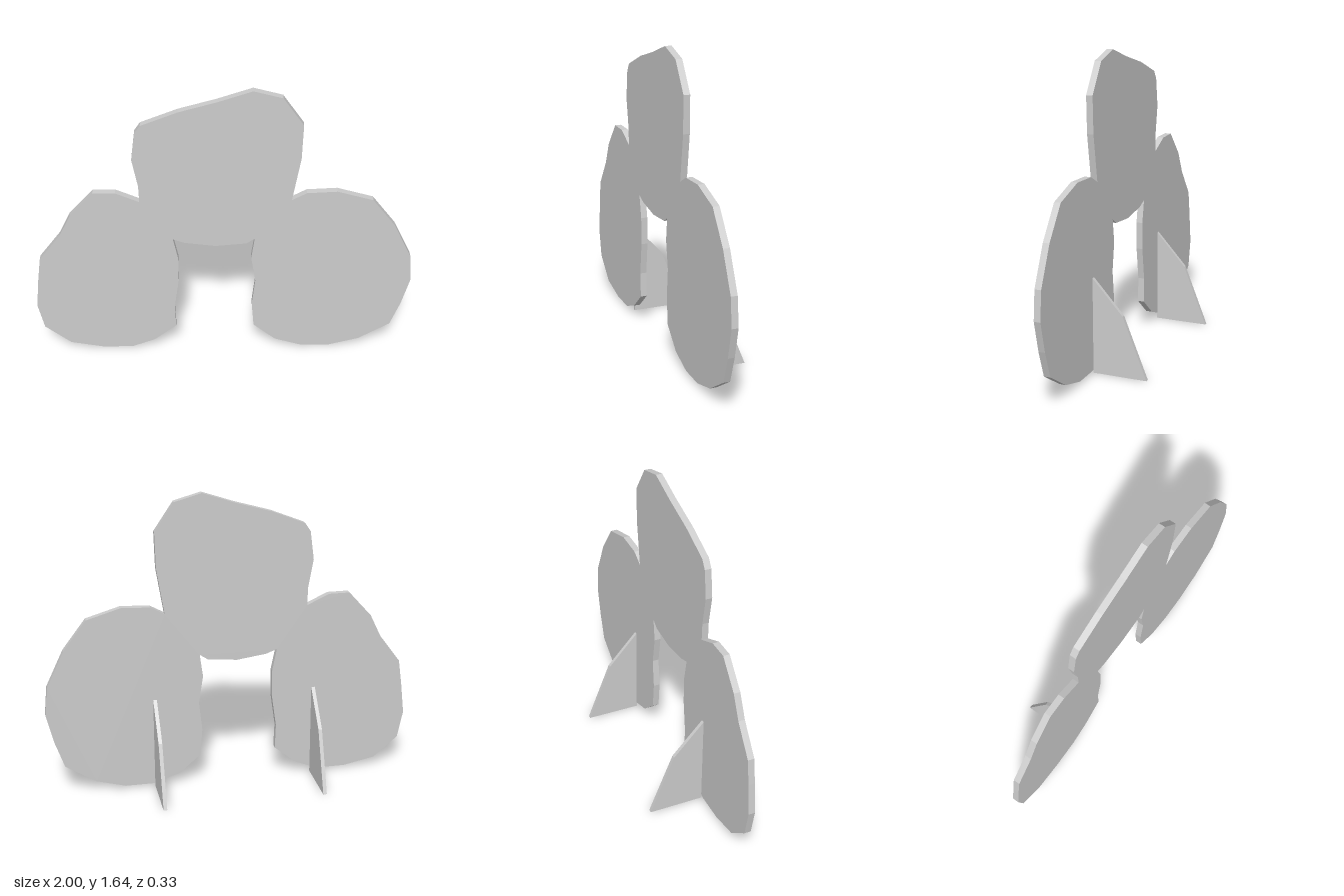
import * as THREE from 'three';

const material = new THREE.MeshStandardMaterial({ color: 0xcccccc, flatShading: true });

// Flat plate cut from an outline of [x, y] points
function plate(name, points, depth) {
  const shape = new THREE.Shape(points.map(([x, y]) => new THREE.Vector2(x, y)));
  const geometry = new THREE.ExtrudeGeometry(shape, { depth, bevelEnabled: false });
  const mesh = new THREE.Mesh(geometry, material);
  mesh.name = name;
  return mesh;
}

export function createModel() {
  const model = new THREE.Group();
  model.name = 'standingCutout';

  // Three-lobed upright panel, counter-clockwise from the lower right lobe
  const panel = plate('panel', [
    // lobe on +x
    [0.43, 0.015], [0.585, 0.015], [0.745, 0.06], [0.91, 0.165], [0.96, 0.31],
    [1, 0.475], [0.985, 0.63], [0.89, 0.83], [0.765, 0.995], [0.58, 1.05],
    [0.425, 1.042], [0.35, 1.0],
    // top lobe
    [0.39, 1.25], [0.395, 1.445], [0.29, 1.6], [0.145, 1.64], [-0.03, 1.58],
    [-0.22, 1.525], [-0.405, 1.45], [-0.435, 1.405], [-0.455, 1.25], [-0.427, 1.09],
    [-0.425, 0.995],
    // lobe on -x
    [-0.545, 1.05], [-0.66, 1.05], [-0.785, 0.91], [-0.845, 0.785], [-0.96, 0.63],
    [-0.98, 0.49], [-1, 0.315], [-0.97, 0.165], [-0.835, 0.05], [-0.66, 0.015],
    [-0.5, 0.015], [-0.375, 0.065], [-0.255, 0.165], [-0.26, 0.3], [-0.235, 0.48],
    [-0.235, 0.63], [-0.26, 0.755],
    // lower edge of the opening
    [-0.2, 0.732], [-0.04, 0.71], [0.12, 0.725], [0.165, 0.755], [0.148, 0.63],
    [0.172, 0.475], [0.155, 0.315], [0.167, 0.165], [0.285, 0.062],
  ], 0.035);
  panel.position.z = 0.13;
  model.add(panel);

  // Support fins behind the panel, outline drawn as [-z, y]
  const finOutline = [[-0.131, 0], [0.165, 0], [0.035, 0.33], [-0.131, 0.515]];
  for (const [name, x] of [['rightSupport', -0.468], ['leftSupport', 0.412]]) {
    const fin = plate(name, finOutline, 0.02);
    fin.rotation.y = Math.PI / 2;
    fin.position.x = x - 0.01;
    model.add(fin);
  }
  return model;
}
